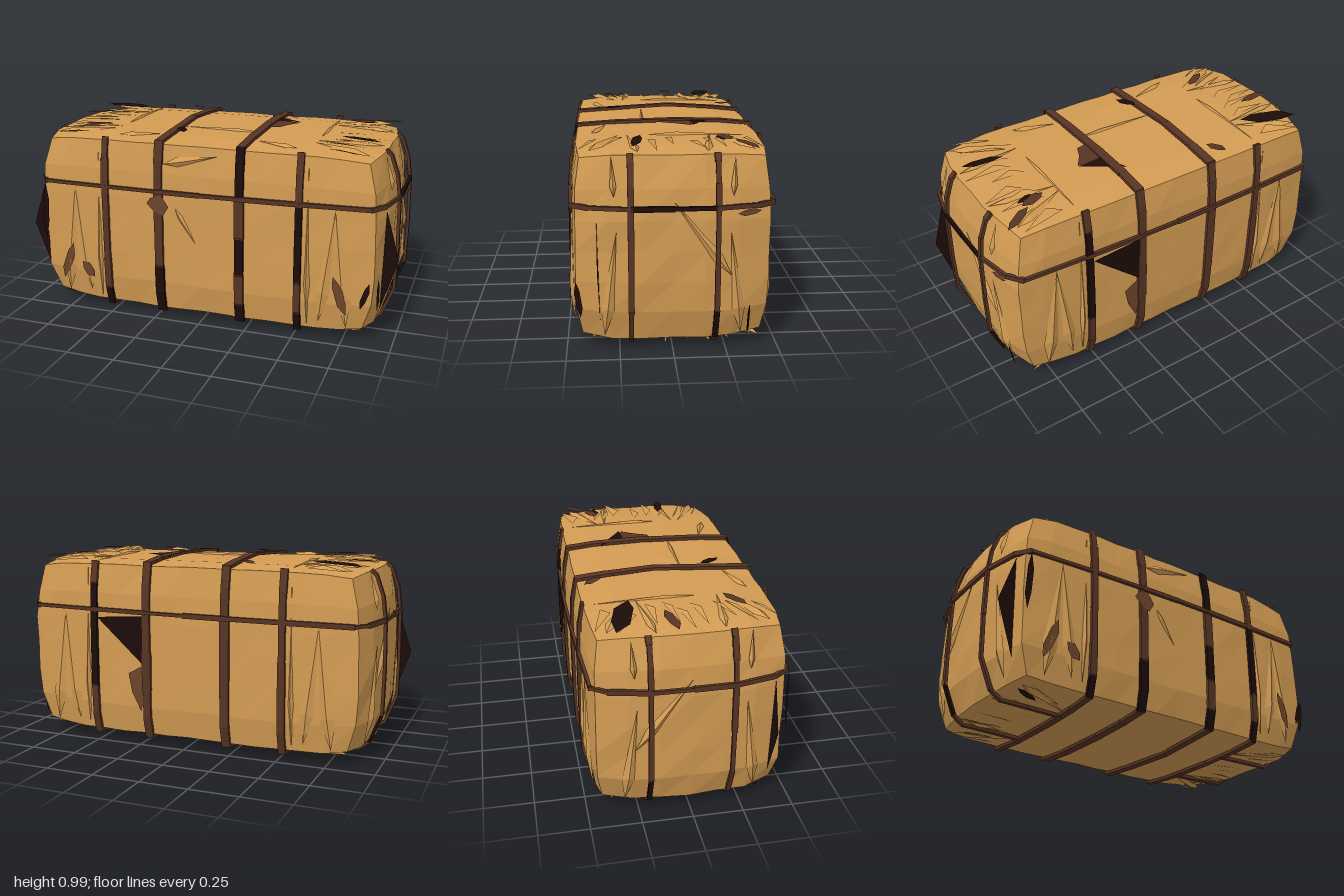
import * as THREE from 'three';
import { mergeGeometries } from 'three/addons/utils/BufferGeometryUtils.js';

const flat = (name, color) => {
  const m = new THREE.MeshStandardMaterial({ color, flatShading: true, side: THREE.DoubleSide });
  m.name = name;
  return m;
};
const paper = flat('tan wrapping', 0xd39c53);
const brown = flat('brown strap', 0x573424);
const rust = flat('rust stain', 0x6c442a);
const dark = flat('dark gap', 0x1c0c0a);

let seed = 7;
const rnd = () => (seed = (seed * 16807) % 2147483647) / 2147483647;
const spread = (s) => (rnd() - 0.5) * 2 * s;

// Half extents of the bulging bale for unit-cube coordinates a (x), b (y), c (z)
const halfX = (b, c) => 0.95 - 0.05 * b ** 4 - 0.05 * Math.abs(c) ** 3;
const halfY = (a, c) => 0.467 - 0.022 * a ** 8 - 0.018 * c ** 6;
const halfZ = (a, b) => 0.476 - 0.025 * a ** 6 - 0.025 * b ** 6;

// Point on a side of the bale, lifted by h: front/back take x,y; top/bottom x,z; ends z,y
function onSide(side, u, v, h = 0) {
  const b = (v - 0.5) / 0.465;
  switch (side) {
    case 'front': return [u, v, halfZ(u / 0.95, b) + h];
    case 'back': return [u, v, -halfZ(u / 0.95, b) - h];
    case 'top': return [u, 0.5 + halfY(u / 0.95, v / 0.47) + h, v];
    case 'bottom': return [u, 0.5 - halfY(u / 0.95, v / 0.47) - h, v];
    case 'leftEnd': return [halfX(b, u / 0.47) + h, v, u];
    default: return [-halfX(b, u / 0.47) - h, v, u];
  }
}

function triangles(list) {
  const g = new THREE.BufferGeometry();
  g.setAttribute('position', new THREE.Float32BufferAttribute(list.flat(), 3));
  g.computeVertexNormals();
  return g;
}

// Flat polygon laid on a side
function patch(side, pts, h = 0.008) {
  const p = pts.map(([u, v]) => onSide(side, u, v, h));
  const out = [];
  for (let i = 1; i < p.length - 1; i++) out.push(p[0], p[i], p[i + 1]);
  return triangles(out);
}

// Maps (t along, s across) of a line on a side to that side's coordinates
function lineFrame(u0, v0, u1, v1, w) {
  const l = Math.hypot(u1 - u0, v1 - v0), nu = -(v1 - v0) / l * w / 2, nv = (u1 - u0) / l * w / 2;
  return (t, s) => [u0 + (u1 - u0) * t + nu * s, v0 + (v1 - v0) * t + nv * s];
}

// Pointed leaf-shaped polygon between two points; lies above the shreds on top
function leaf(side, u0, v0, u1, v1, w) {
  const at = lineFrame(u0, v0, u1, v1, w);
  return patch(side, [at(0, 0), at(0.3, -0.8), at(0.7, -1), at(1, 0), at(0.75, 0.8), at(0.25, 1)], side === 'top' ? 0.02 : 0.014);
}

// Raised crease, pointed at both ends and widest near the second
function pleat(side, u0, v0, u1, v1, w, h = 0.014) {
  const at = lineFrame(u0, v0, u1, v1, w), p = (t, s, lift) => onSide(side, ...at(t, s), lift);
  const tip = p(0, 0, 0), ridge = p(0.72, 0, h), L = p(0.75, 1, -0.004), R = p(0.75, -1, -0.004), foot = p(1, 0, 0);
  return triangles([tip, L, ridge, tip, ridge, R, L, foot, ridge, ridge, foot, R]);
}

// Strap of short flat bars along a path; isDark picks the stained bars
function strap(group, name, path, axis, width, isDark) {
  const parts = [[], []];
  for (let i = 0; i < path.length - 1; i++) {
    const p = new THREE.Vector3(...path[i]), q = new THREE.Vector3(...path[i + 1]);
    const dir = q.clone().sub(p), len = dir.length();
    dir.normalize();
    const side = new THREE.Vector3(...axis), out = dir.clone().cross(side).normalize();
    side.copy(out).cross(dir);
    const g = new THREE.BoxGeometry(width + spread(0.005), 0.016, len + 0.008);
    g.applyMatrix4(new THREE.Matrix4().makeBasis(side, out, dir).setPosition(p.add(q).multiplyScalar(0.5)));
    parts[isDark(i) ? 1 : 0].push(g);
  }
  parts.forEach((list, k) => add(group, name + (k ? 'Stain' : ''), list, k ? dark : brown));
}

function add(group, name, list, material) {
  if (!list.length) return;
  const mesh = new THREE.Mesh(mergeGeometries(list), material);
  mesh.name = name;
  group.add(mesh);
}

export function createModel() {
  const model = new THREE.Group();
  model.name = 'strappedBale';

  // Bale body: a box bulged by rule with small dents
  const body = new THREE.BoxGeometry(2, 2, 2, 14, 6, 6), pos = body.attributes.position;
  for (let i = 0; i < pos.count; i++) {
    const a = pos.getX(i), b = pos.getY(i), c = pos.getZ(i);
    const n = Math.sin(a * 37.1 + b * 71.7 + c * 53.3) * 43.7;
    const dent = 1 - 0.012 * (n - Math.floor(n));
    pos.setXYZ(i, a * halfX(b, c) * dent, 0.5 + b * halfY(a, c) * (1 - (1 - dent) * 0.8), c * halfZ(a, b) * dent);
  }
  body.computeVertexNormals();
  add(model, 'baleBody', [body], paper);

  // Straps across the bale; the outer pair is buried under the top folds
  const straps = new THREE.Group();
  straps.name = 'straps';
  model.add(straps);
  for (const [x, stained] of [[-0.52, [5]], [-0.22, [4, 5]], [0.215, [0, 1, 3, 5]], [0.52, [2, 3, 5, 12, 13, 14]]]) {
    const full = Math.abs(x) < 0.4, peak = x === -0.22 ? 0.99 : 0.981, low = x === 0.215 ? 0.012 : 0.022;
    const half = [[0.45, 0.96], [0.471, 0.85], [0.48, 0.7], [0.482, 0.5], [0.482, 0.3], [0.476, 0.14], [0.45, 0.04]];
    const path = half.map(([z, y]) => [x, y, z]);
    path.push([x, 0.028, 0.3], [x, low, 0.08], [x, 0.025, -0.25]);
    path.push(...half.slice().reverse().map(([z, y]) => [x, y, -z]));
    if (full) path.push([x, 0.975, -0.3], [x, peak, -0.05], [x, 0.973, 0.25], path[0]);
    strap(straps, 'crossStrap', path, [1, 0, 0], full ? 0.045 : 0.036, (i) => stained.includes(i));
  }

  // Straps over the two ends, tucked in under the top folds and running on below
  for (const s of [-1, 1]) for (const z of [-0.2, 0.195]) {
    const path = [[0.89, 0.945], [0.915, 0.92], [0.95, 0.82], [0.966, 0.7], [0.97, 0.45], [0.965, 0.22],
      [0.905, 0.07], [0.85, 0.03], [0.52, 0.024]];
    strap(straps, 'endStrap', path.map(([x, y]) => [s * x, y, z]), [0, 0, 1], 0.025, (i) => z < 0 && i === 5);
  }

  // Belt all around at upper height
  const half = [[-0.87, 0.465], [-0.52, 0.481], [-0.22, 0.489], [0, 0.492], [0.22, 0.489], [0.52, 0.481], [0.87, 0.465],
    [0.925, 0.39], [0.968, 0.19], [0.97, 0], [0.968, -0.19], [0.925, -0.39]];
  const belt = [...half, ...half.map(([x, z]) => [-x, -z]), half[0]];
  strap(straps, 'belt', belt.map(([x, z]) => [x, 0.707 + x * 0.006, z]), [0, 1, 0], 0.022, (i) => [8, 9].includes(i));

  // Creases in the wrapping, mirrored left and right where paired
  const pleats = [];
  for (const s of [-1, 1]) {
    for (const side of ['front', 'back']) {
      pleats.push(pleat(side, s * 0.7, 0.69, s * 0.63, 0.1, 0.07), pleat(side, s * 0.7, 0.69, s * 0.77, 0.08, 0.08),
        pleat(side, s * 0.56, 0.93, s * 0.57, 0.08, 0.03));
    }
    const end = s > 0 ? 'leftEnd' : 'rightEnd';
    for (const t of [-1, 1]) {
      pleats.push(pleat(end, t * 0.28, 0.94, t * 0.27, 0.76, 0.03), pleat(end, t * 0.26, 0.6, t * 0.32, 0.08, 0.06));
      for (const side of ['top', 'bottom'])
        pleats.push(pleat(side, s * 0.54, t * 0.2, s * 0.88, t * 0.16, 0.04, 0.012), pleat(side, s * 0.54, t * 0.24, s * 0.84, t * 0.38, 0.06));
    }
    pleats.push(pleat(end, 0, 0.74, -0.27, 0.38, 0.05), pleat('top', s * 0.54, -0.4, s * 0.54, 0.1, 0.02, 0.012),
      pleat('top', s * 0.26, 0.3, s * 0.48, 0.37, 0.04, 0.012));
  }
  pleats.push(pleat('front', 0.1, 0.91, -0.19, 0.85, 0.05, 0.012), pleat('front', -0.02, 0.44, -0.13, 0.62, 0.03, 0.01),
    pleat('top', -0.22, 0.1, 0.21, 0.11, 0.02, 0.01));
  add(model, 'creases', pleats, paper);

  // Torn paper slivers fanning out to the end edges, top and bottom
  const shreds = [];
  for (const s of [-1, 1]) for (const side of ['top', 'bottom']) for (let i = 0; i < 9; i++) {
    const x = 0.58 + rnd() * 0.1, z = -0.34 + i * 0.085 + spread(0.03), up = 0.004 + rnd() * 0.012;
    const tip = onSide(side, s * (x + 0.18 + rnd() * 0.07), Math.max(-0.43, Math.min(0.43, z * 1.2 + spread(0.04))), up);
    shreds.push(triangles([onSide(side, s * x, z - 0.02), onSide(side, s * (x + 0.07), z + 0.02, 0.012), tip]));
  }
  add(model, 'tornPaper', shreds, paper);

  // Dark flaps standing out edge-on from both ends
  const flaps = [[1, 0.35], [-1, 0.4]].map(([s, z]) => {
    const end = s > 0 ? 'leftEnd' : 'rightEnd';
    return triangles([onSide(end, z, 0.68), onSide(end, z - 0.01, 0.16), [s, 0.43, z]]);
  });
  add(model, 'endFlaps', flaps, dark);

  // Light rusty stains on the wrapping
  add(model, 'rustStains', [
    patch('front', [[-0.28, 0.64], [-0.24, 0.6], [-0.19, 0.58], [-0.16, 0.63], [-0.2, 0.69], [-0.26, 0.67]], 0.016),
    leaf('front', -0.79, 0.16, -0.72, 0.37, 0.05), leaf('front', -0.67, 0.27, -0.6, 0.19, 0.06),
    leaf('front', 0.77, 0.16, 0.7, 0.36, 0.05), leaf('leftEnd', -0.29, 0.68, -0.4, 0.69, 0.03),
    patch('back', [[0.25, 0.18], [0.2, 0.38], [0.25, 0.42], [0.32, 0.38], [0.3, 0.28]]),
  ], rust);

  // Brown stains on the top
  add(model, 'brownStains', [
    patch('top', [[0.2, -0.16], [0.37, -0.13], [0.32, -0.06], [0.29, 0.01], [0.23, 0.02], [0.25, -0.08]], 0.012),
    leaf('top', -0.9, -0.06, -0.71, -0.09, 0.05), leaf('top', -0.34, -0.42, -0.28, -0.33, 0.05),
    leaf('top', -0.72, 0.3, -0.58, 0.22, 0.05), leaf('top', 0.74, -0.3, 0.89, -0.39, 0.05),
    leaf('top', 0.63, -0.24, 0.76, -0.28, 0.06),
  ], brown);

  // Dark tears and gaps
  add(model, 'darkTears', [
    patch('back', [[0.22, 0.69], [0.5, 0.67], [0.22, 0.42]], 0.01),
    leaf('top', -0.88, -0.34, -0.58, -0.24, 0.1), leaf('top', 0.65, 0.14, 0.86, 0.18, 0.05),
    leaf('top', -0.2, 0.2, -0.14, 0.31, 0.05), leaf('top', 0.68, -0.22, 0.77, -0.25, 0.03),
    patch('top', [[0.17, -0.27], [0.37, -0.14], [0.24, -0.13]], 0.014),
    leaf('front', -0.885, 0.38, -0.875, 0.69, 0.035), leaf('front', 0.84, 0.2, 0.88, 0.34, 0.03),
    leaf('leftEnd', 0.43, 0.18, 0.45, 0.36, 0.03), leaf('leftEnd', -0.35, 0.07, -0.355, 0.24, 0.012),
    leaf('bottom', -0.85, 0.36, -0.72, 0.3, 0.04),
  ], dark);

  return model;
}
